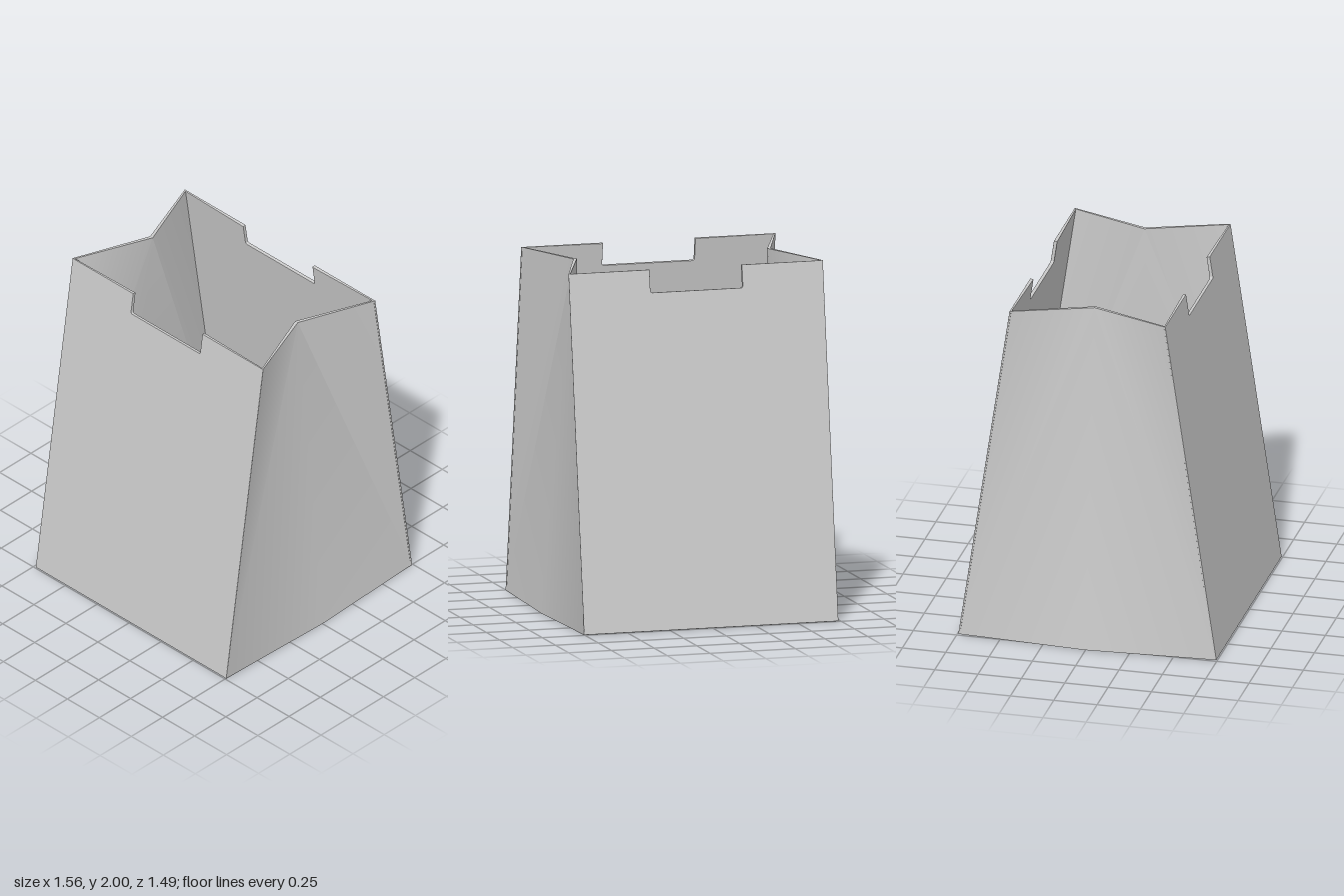
import * as THREE from 'three';
import { toCreasedNormals } from 'three/addons/utils/BufferGeometryUtils.js';

const H = 2;                       // height
const THIN = 0.01, THICK = 0.02;   // wall thickness at the corners and mid-wall
const CX = 0.009, HALF_W = 0.743;  // flat panels: centre and half width
const Z0 = 0.745, Z1 = 0.45;       // half depth at the base and at the rim
const material = new THREE.MeshStandardMaterial({ color: 0xcccccc });

// Flat notched panel, leaning inwards; its inner face swells towards the notch
function panelGeometry() {
  const lean = Math.atan2(Z0 - Z1, H), k = 1 / Math.cos(lean);
  const top = H * k, notch = 1.872 * k, n = 0.27, r = 0.012;
  const s = new THREE.Shape();
  s.moveTo(-HALF_W, 0);
  s.lineTo(HALF_W, 0);
  s.lineTo(HALF_W, top);
  s.lineTo(n, top);
  s.lineTo(n, notch + r);
  s.quadraticCurveTo(n, notch, n - r, notch);
  s.lineTo(-n + r, notch);
  s.quadraticCurveTo(-n, notch, -n, notch + r);
  s.lineTo(-n, top);
  s.lineTo(-HALF_W, top);
  s.closePath();
  const b = 0.003;
  const g = new THREE.ExtrudeGeometry(s, {
    depth: THIN - 2 * b, bevelEnabled: true, bevelSize: b, bevelThickness: b,
    bevelOffset: -b, bevelSegments: 2, curveSegments: 4,
  });
  g.translate(0, 0, b - THIN);
  const p = g.attributes.position;
  for (let i = 0; i < p.count; i++) {
    const middle = Math.abs(p.getX(i)) < 0.4;
    if (middle && p.getZ(i) < -THIN / 2) p.setZ(i, p.getZ(i) - (THICK - THIN));
  }
  g.rotateX(-lean);
  g.translate(0, 0, Z0);
  return g;
}

// Folded side wall: bulges out at the base, tucks into a V at the rim.
// Each half folds along the diagonal from the base corner to the rim crease.
function gussetGeometry(side) {
  const corner = CX + side * (HALF_W + 0.001);
  const rows = [
    { y: 0, hz: Z0 - 0.001, crease: side * 0.78 },
    { y: H, hz: Z1 - 0.001, crease: CX + side * 0.577 },
  ];
  // Ring: outer back, crease, front, then inner front, crease, back
  const RING = 6, pos = [], idx = [];
  for (const { y, hz, crease } of rows) {
    for (const v of [-1, 0, 1]) pos.push(v ? corner : crease, y, v * hz);
    for (const v of [1, 0, -1]) {
      pos.push(v ? corner - side * THIN : crease - side * THICK, y, v * hz);
    }
  }
  // The quad is split along its a-c diagonal
  const quad = (a, b, c, d) => {
    if (side > 0) idx.push(a, c, b, a, d, c);
    else idx.push(a, b, c, a, c, d);
  };
  for (let i = 0; i < RING; i++) {
    const b = (i + 1) % RING;
    if (i % 3 === 1) quad(b, b + RING, i + RING, i);
    else quad(i, b, b + RING, i + RING);
  }
  // Rim and lower edge
  for (let i = 0; i < 2; i++) {
    const m = RING - 1 - i;
    quad(RING + i, RING + i + 1, RING + m - 1, RING + m);
    quad(m, m - 1, i + 1, i);
  }
  const g = new THREE.BufferGeometry();
  g.setAttribute('position', new THREE.Float32BufferAttribute(pos, 3));
  g.setIndex(idx);
  return toCreasedNormals(g, 0.6);
}

// Six-sided floor
function floorGeometry() {
  const z = Z0 - 0.005, l = CX - HALF_W + 0.003, r = CX + HALF_W - 0.003;
  const s = new THREE.Shape([[l, -z], [r, -z], [0.775, 0], [r, z], [l, z], [-0.775, 0]]
    .map(([x, y]) => new THREE.Vector2(x, y)));
  const g = new THREE.ExtrudeGeometry(s, { depth: 0.014, bevelEnabled: false });
  g.rotateX(-Math.PI / 2);
  return g;
}

export function createModel() {
  const bag = new THREE.Group();
  bag.name = 'openBag';
  const add = (name, geometry) => {
    const mesh = new THREE.Mesh(geometry, material);
    mesh.name = name;
    bag.add(mesh);
    return mesh;
  };

  const panel = panelGeometry();
  add('frontPanel', panel).position.x = CX;
  const back = add('backPanel', panel);
  back.position.x = CX;
  back.rotation.y = Math.PI;

  add('leftGusset', gussetGeometry(1));
  add('rightGusset', gussetGeometry(-1));
  add('floor', floorGeometry());
  return bag;
}
